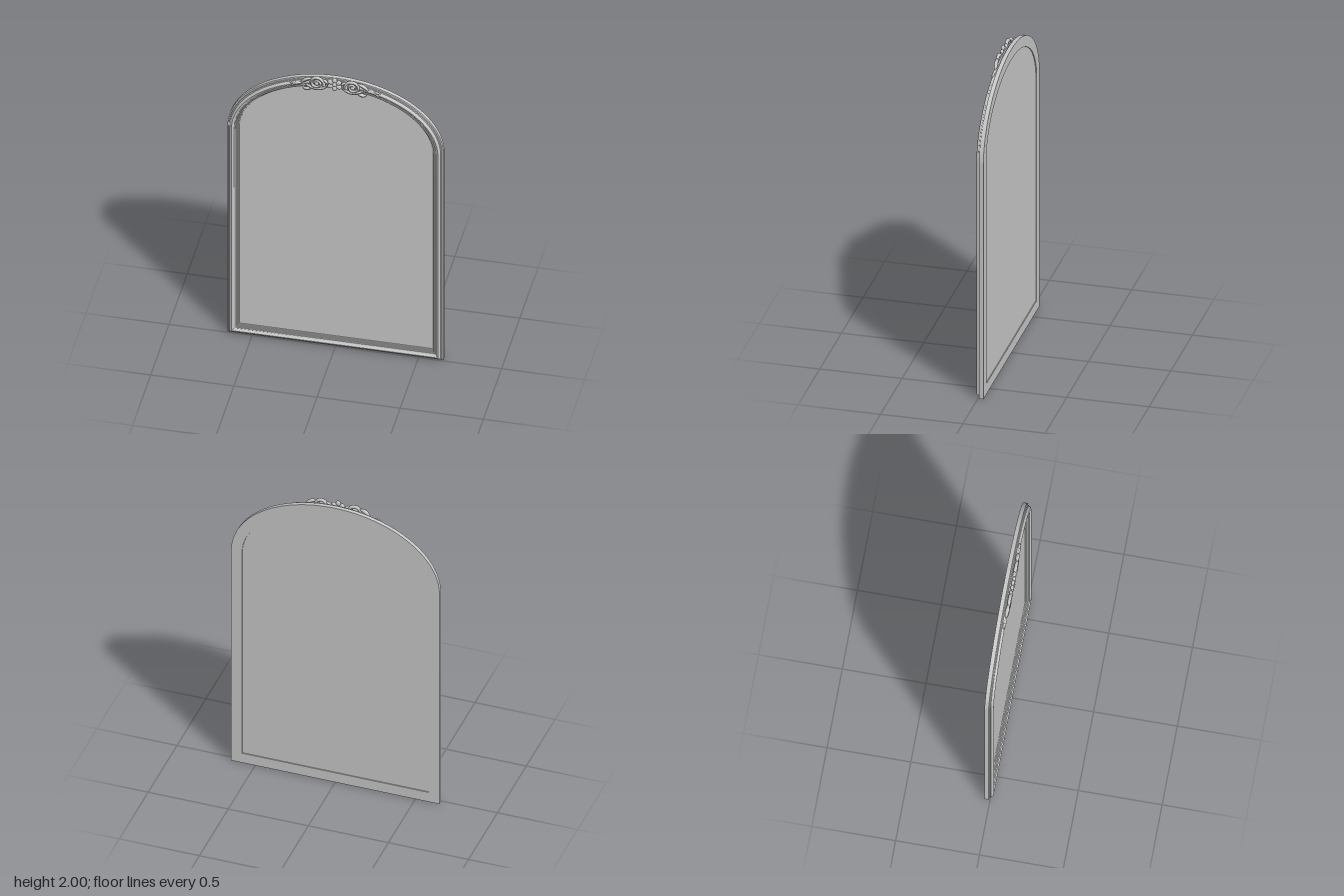
import * as THREE from 'three';
import { toCreasedNormals } from 'three/addons/utils/BufferGeometryUtils.js';

const HALF = 0.65, SPRING = 1.52, RISE = 0.46;
const silver = new THREE.MeshStandardMaterial({ name: 'silver grey', color: 0xc8c8c8 });

// Arched outline, counter-clockwise, moved inward by d
function outline(d) {
  const pts = [new THREE.Vector2(-HALF + d, d), new THREE.Vector2(HALF - d, d)];
  const n = 72;
  for (let i = 0; i <= n; i++) {
    const a = (i / n) * Math.PI, c = Math.cos(a), s = Math.sin(a);
    const normal = new THREE.Vector2(c / HALF, s / RISE).normalize();
    pts.push(new THREE.Vector2(HALF * c - normal.x * d, SPRING + RISE * s - normal.y * d));
  }
  return pts;
}

// Closed moulding: [inward distance, z] profile carried round the outline
function moulding(profile) {
  const rings = profile.map(([d, z]) => outline(d).map(p => [p.x, p.y, z]));
  const pos = [], m = rings.length, n = rings[0].length;
  for (let j = 0; j < m; j++) {
    const r = rings[j], q = rings[(j + 1) % m];
    for (let i = 0; i < n; i++) {
      const k = (i + 1) % n;
      pos.push(...r[i], ...r[k], ...q[i], ...r[k], ...q[k], ...q[i]);
    }
  }
  const g = new THREE.BufferGeometry();
  g.setAttribute('position', new THREE.Float32BufferAttribute(pos, 3));
  return toCreasedNormals(g, 0.45);
}

// Carved strand: tube whose radius follows a rule along its length
function strand(points, radius, steps = 28) {
  const curve = new THREE.CatmullRomCurve3(points.map(p => new THREE.Vector3(...p)));
  const g = new THREE.TubeGeometry(curve, steps, 1, 8);
  const pos = g.attributes.position, v = new THREE.Vector3();
  for (let i = 0; i < pos.count; i++) {
    const u = Math.floor(i / 9) / steps;
    const c = curve.getPointAt(u);
    v.fromBufferAttribute(pos, i).sub(c).multiplyScalar(radius(u)).add(c);
    pos.setXYZ(i, v.x, v.y, v.z);
  }
  g.computeVertexNormals();
  return g;
}

const leafRadius = r => u => r * Math.pow(Math.sin(Math.PI * Math.min(0.999, Math.max(0.001, u))), 0.7);

function spiral(cx, cy, r0, r1, start, turns, z) {
  const pts = [];
  for (let i = 0; i <= 18; i++) {
    const t = i / 18, a = start + t * turns * Math.PI * 2, r = r0 + (r1 - r0) * t;
    pts.push([cx + r * Math.cos(a), cy + r * Math.sin(a), z]);
  }
  return pts;
}

export function createModel() {
  const model = new THREE.Group();
  model.name = 'archedMirror';
  const add = (name, geometry, parent = model) => {
    const mesh = new THREE.Mesh(geometry, silver);
    mesh.name = name;
    parent.add(mesh);
    return mesh;
  };

  // Stepped frame with rounded crown, cove and inner bead
  add('frame', moulding([
    [0, -0.033], [0, -0.008], [0.008, -0.006], [0.010, 0.000], [0.016, 0.002],
    [0.018, 0.010], [0.023, 0.015], [0.029, 0.017], [0.035, 0.015], [0.039, 0.010],
    [0.044, 0.007], [0.049, 0.007], [0.051, 0.011], [0.055, 0.011], [0.057, 0.004],
    [0.062, 0.001], [0.064, -0.005], [0.069, -0.008], [0.070, -0.016], [0.068, -0.033],
  ]));

  // Glass and backing in one thin panel
  const panel = new THREE.ExtrudeGeometry(new THREE.Shape(outline(0.067)), { depth: 0.014, bevelEnabled: false });
  add('mirrorPanel', panel.translate(0, 0, -0.028));

  // Crest flower
  const crest = new THREE.Group();
  crest.name = 'crest';
  model.add(crest);
  const cy = 1.953;
  for (let i = 0; i < 6; i++) {
    const a = Math.PI / 2 + (i * Math.PI) / 3;
    const petal = add('petal', new THREE.SphereGeometry(1, 14, 10), crest);
    petal.scale.set(0.018, 0.0155, 0.011);
    petal.rotation.z = a;
    petal.position.set(0.029 * Math.cos(a), cy + 0.029 * Math.sin(a), 0.019);
  }
  const heart = add('flowerHeart', new THREE.SphereGeometry(1, 14, 10), crest);
  heart.scale.set(0.013, 0.013, 0.012);
  heart.position.set(0, cy, 0.021);

  // Scrolls and leaves, mirrored on both sides
  const strands = [
    ['mainScroll', spiral(0.108, 1.944, 0.044, 0.012, Math.PI * 1.1, -1.5, 0.018), u => 0.012 - 0.005 * u],
    ['scrollStem', [[0.04, 1.925, 0.017], [0.07, 1.912, 0.017], [0.11, 1.905, 0.017], [0.15, 1.915, 0.016], [0.185, 1.932, 0.014]], leafRadius(0.011)],
    ['upperLeaf', [[0.13, 1.975, 0.016], [0.165, 1.965, 0.016], [0.19, 1.945, 0.014], [0.205, 1.925, 0.012]], leafRadius(0.012)],
    ['lowerLeaf', [[0.13, 1.915, 0.014], [0.155, 1.897, 0.014], [0.18, 1.893, 0.012], [0.195, 1.905, 0.011]], leafRadius(0.012)],
    ['longLeaf', [[0.165, 1.925, 0.013], [0.205, 1.927, 0.013], [0.24, 1.918, 0.012], [0.265, 1.9, 0.011], [0.29, 1.897, 0.010]], leafRadius(0.010)],
    ['tipLeaf', [[0.225, 1.92, 0.012], [0.25, 1.925, 0.012], [0.275, 1.914, 0.011]], leafRadius(0.008)],
    ['innerLeaf', [[0.04, 1.945, 0.016], [0.055, 1.965, 0.017], [0.075, 1.978, 0.016]], leafRadius(0.010)],
  ];
  for (const side of [-1, 1]) {
    const spray = new THREE.Group();
    spray.name = side > 0 ? 'leftSpray' : 'rightSpray';
    crest.add(spray);
    for (const [name, pts, radius] of strands) {
      add(name, strand(pts.map(([x, y, z]) => [x * side, y, z]), radius, name === 'mainScroll' ? 48 : 24), spray);
    }
    const eye = add('scrollEye', new THREE.SphereGeometry(1, 12, 8), spray);
    eye.scale.set(0.014, 0.014, 0.013);
    eye.position.set(0.108 * side, 1.944, 0.018);
  }
  return model;
}
